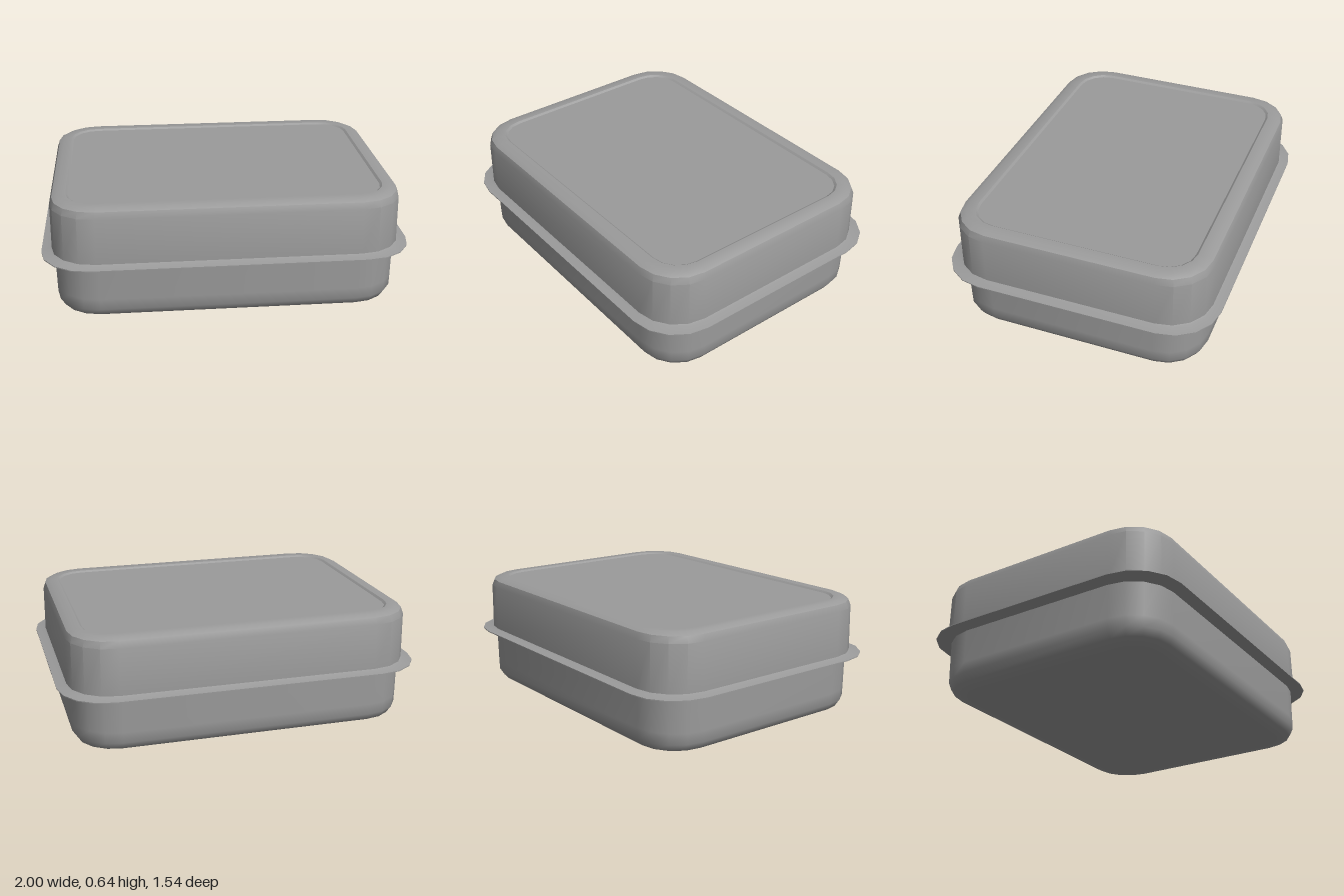
import * as THREE from 'three';
import { toCreasedNormals } from 'three/addons/utils/BufferGeometryUtils.js';

const CORNER_SEGMENTS = 4;

// Rounded-rectangle ring: half width, half depth, corner radius, height
function ring([hx, hz, r, y]) {
  const points = [];
  for (let q = 0; q < 4; q++) {
    const sx = q === 0 || q === 3 ? 1 : -1;
    const sz = q < 2 ? 1 : -1;
    for (let i = 0; i <= CORNER_SEGMENTS; i++) {
      const a = (q + i / CORNER_SEGMENTS) * Math.PI / 2;
      points.push(new THREE.Vector3(
        sx * (hx - r) + r * Math.cos(a), y, sz * (hz - r) + r * Math.sin(a)));
    }
  }
  return points;
}

// Joins successive rings into a skin, leaving out empty triangles
function loft(profile, crease) {
  const rings = profile.map(ring);
  const positions = [];
  const triangle = (a, b, c) => {
    if (new THREE.Triangle(a, b, c).getArea() < 1e-8) return;
    for (const p of [a, b, c]) positions.push(p.x, p.y, p.z);
  };
  for (let i = 0; i < rings.length - 1; i++) {
    const low = rings[i], high = rings[i + 1];
    for (let j = 0; j < low.length; j++) {
      const k = (j + 1) % low.length;
      triangle(low[j], high[j], low[k]);
      triangle(high[j], high[k], low[k]);
    }
  }
  const geometry = new THREE.BufferGeometry();
  geometry.setAttribute('position', new THREE.Float32BufferAttribute(positions, 3));
  return toCreasedNormals(geometry, crease);
}

export function createModel() {
  const group = new THREE.Group();
  group.name = 'foodContainer';
  const material = new THREE.MeshStandardMaterial({ color: 0x9b9b9b, side: THREE.DoubleSide });

  const add = (name, profile, crease) => {
    const mesh = new THREE.Mesh(loft(profile, crease), material);
    mesh.name = name;
    group.add(mesh);
  };

  // Tray: floor, softened lower edge, wall and outer flange
  add('tray', [
    [0, 0, 0, 0],
    [0.80, 0.59, 0.14, 0],
    [0.90, 0.67, 0.21, 0.02],
    [0.926, 0.695, 0.235, 0.06],
    [0.928, 0.697, 0.237, 0.12],
    [0.93, 0.70, 0.24, 0.308],
    [0.955, 0.725, 0.25, 0.313],
    [1, 0.768, 0.27, 0.32],
    [1, 0.768, 0.27, 0.325],
  ], 1.0);

  // Lid: flange, foot step, wall, rounded rim and shallow recessed panel
  add('lid', [
    [1, 0.768, 0.27, 0.325],
    [0.957, 0.724, 0.25, 0.332],
    [0.945, 0.715, 0.24, 0.336],
    [0.943, 0.713, 0.24, 0.59],
    [0.93, 0.70, 0.23, 0.625],
    [0.90, 0.672, 0.205, 0.64],
    [0.855, 0.619, 0.16, 0.64],
    [0.843, 0.607, 0.15, 0.631],
    [0, 0, 0, 0.631],
  ], 0.5);

  return group;
}
